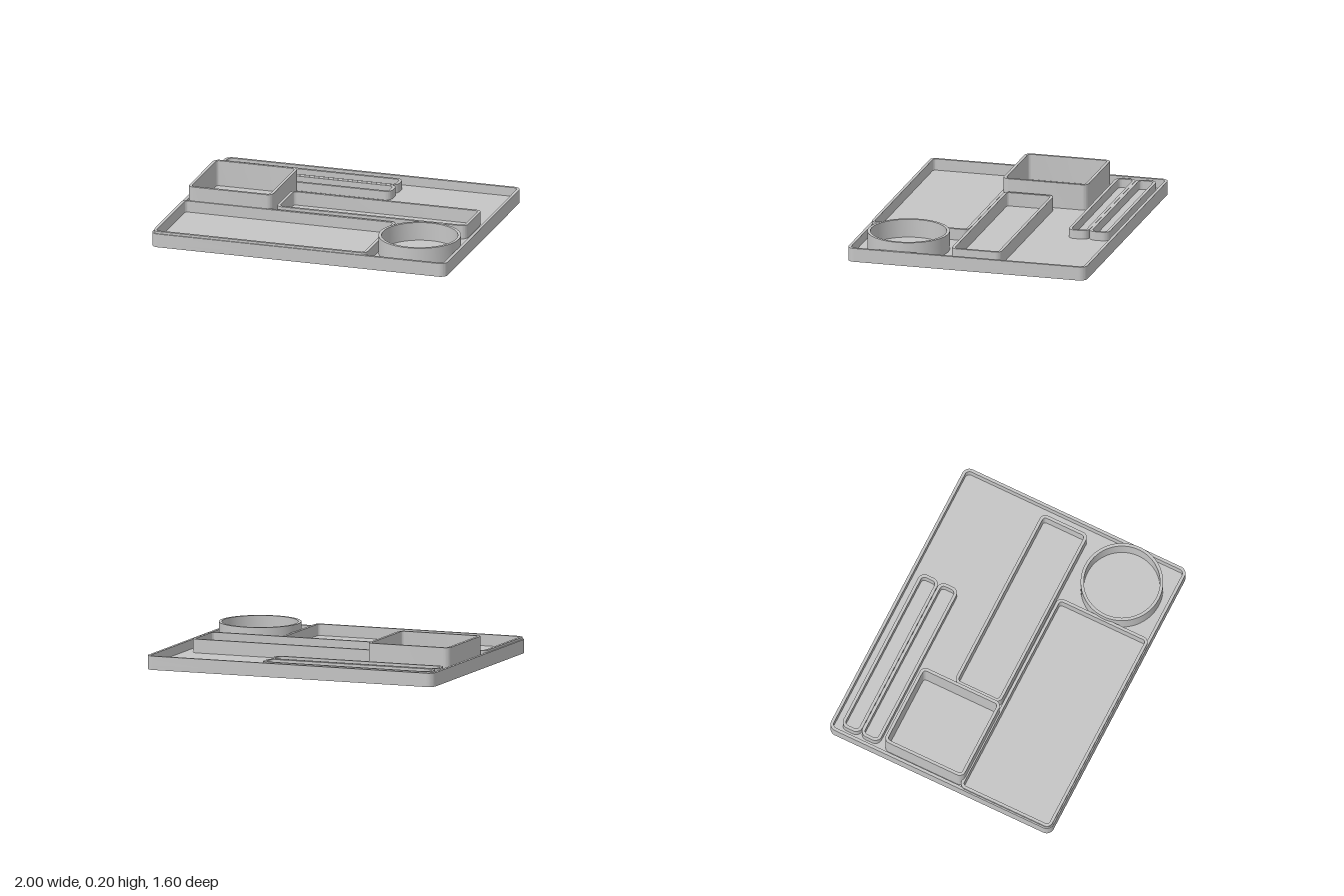
import * as THREE from 'three';
import { toCreasedNormals } from 'three/addons/utils/BufferGeometryUtils.js';

const FLOOR = 0.03;
const WALL = 0.02;

// Rounded rectangle outline; plan z is mapped to -y of the shape
function rounded(path, x0, x1, z0, z1, r) {
  const b = -z1, t = -z0;
  path.moveTo(x0 + r, b);
  path.lineTo(x1 - r, b);
  path.absarc(x1 - r, b + r, r, -Math.PI / 2, 0, false);
  path.lineTo(x1, t - r);
  path.absarc(x1 - r, t - r, r, 0, Math.PI / 2, false);
  path.lineTo(x0 + r, t);
  path.absarc(x0 + r, t - r, r, Math.PI / 2, Math.PI, false);
  path.lineTo(x0, b + r);
  path.absarc(x0 + r, b + r, r, Math.PI, Math.PI * 1.5, false);
  return path;
}

function circle(path, x, z, r) {
  path.absarc(x, -z, r, 0, Math.PI * 2, false);
  return path;
}

export function createModel() {
  const group = new THREE.Group();
  group.name = 'deskOrganiser';
  const lightGrey = new THREE.MeshStandardMaterial({ color: 0xc5c5c5 });
  lightGrey.name = 'lightGrey';

  // Upright prism of a plan shape between two heights
  function prism(name, shape, y0, y1, curveSegments = 8) {
    let geo = new THREE.ExtrudeGeometry(shape, { depth: y1 - y0, bevelEnabled: false, curveSegments });
    geo.rotateX(-Math.PI / 2);
    geo.translate(0, y0, 0);
    geo = toCreasedNormals(geo, Math.PI / 6);
    const mesh = new THREE.Mesh(geo, lightGrey);
    mesh.name = name;
    group.add(mesh);
  }

  // Rounded rectangular wall around an open compartment
  function wall(name, x0, x1, z0, z1, r, h) {
    const shape = rounded(new THREE.Shape(), x0, x1, z0, z1, r);
    shape.holes.push(rounded(new THREE.Path(), x0 + WALL, x1 - WALL, z0 + WALL, z1 - WALL, r - WALL));
    prism(name, shape, FLOOR, h);
  }

  // Base plate and outer rim
  prism('basePlate', rounded(new THREE.Shape(), -1, 1, -0.8, 0.8, 0.05), 0, FLOOR);
  wall('outerRim', -1, 1, -0.8, 0.8, 0.05, 0.09);

  // Rectangular compartments
  const compartments = [
    ['wideTray', -0.99, 0.458, 0.138, 0.792, 0.04, 0.105],
    ['tallBox', -0.958, -0.388, -0.422, 0.148, 0.04, 0.2],
    ['longTray', -0.367, 0.922, -0.209, 0.124, 0.04, 0.12],
    ['rearPenSlot', -0.949, 0.222, -0.735, -0.599, 0.045, 0.088],
    ['frontPenSlot', -0.949, 0.222, -0.597, -0.461, 0.045, 0.088],
  ];
  for (const [name, x0, x1, z0, z1, r, h] of compartments) {
    wall(name, x0, x1, z0, z1, r, h);
  }

  // Round cup holder
  const cup = circle(new THREE.Shape(), 0.717, 0.464, 0.266);
  cup.holes.push(circle(new THREE.Path(), 0.717, 0.464, 0.266 - WALL));
  prism('cupHolder', cup, FLOOR, 0.15, 64);

  return group;
}
